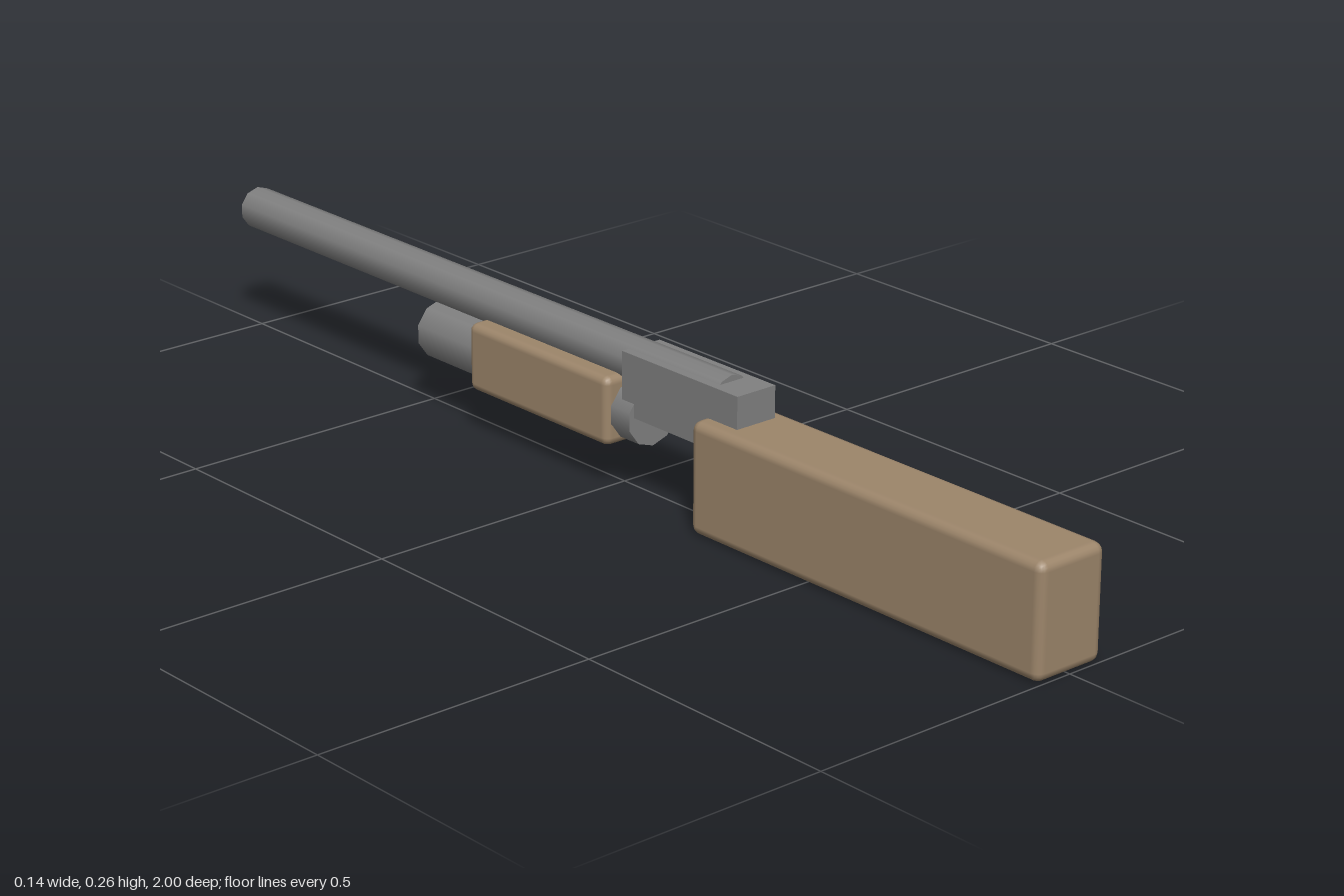
import * as THREE from 'three';
import { RoundedBoxGeometry } from 'three/addons/geometries/RoundedBoxGeometry.js';

export function createModel() {
  const model = new THREE.Group();
  const wood = new THREE.MeshStandardMaterial({ color: 0x9c856a });
  wood.name = 'wood';
  const steel = new THREE.MeshStandardMaterial({ color: 0x808080 });
  steel.name = 'steel';

  // Centres a part on x = 0 at height y, spanning its length from z0 to z1
  const add = (name, geometry, material, y, z0, z1) => {
    const mesh = new THREE.Mesh(geometry, material);
    mesh.name = name;
    mesh.position.set(0, y, (z0 + z1) / 2);
    model.add(mesh);
  };
  const block = (name, w, y0, y1, z0, z1, r) =>
    add(name, new RoundedBoxGeometry(w, y1 - y0, z1 - z0, 2, r), wood, (y0 + y1) / 2, z0, z1);
  // Ten-sided tube lying along z
  const tube = (name, r, y, z0, z1) =>
    add(name, new THREE.CylinderGeometry(r, r, z1 - z0, 10).rotateX(Math.PI / 2), steel, y, z0, z1);

  // Wooden furniture
  block('stock', 0.136, 0, 0.192, 0.235, 1, 0.016);
  block('foregrip', 0.12, 0.08, 0.199, -0.33, 0.025, 0.014);

  // Metalwork
  add('receiver', new THREE.BoxGeometry(0.08, 0.107, 0.275), steel, 0.1935, 0.04, 0.315);
  tube('barrel', 0.037, 0.221, -1, 0.258);
  tube('magazineTube', 0.052, 0.135, -0.478, 0.07);

  return model;
}
